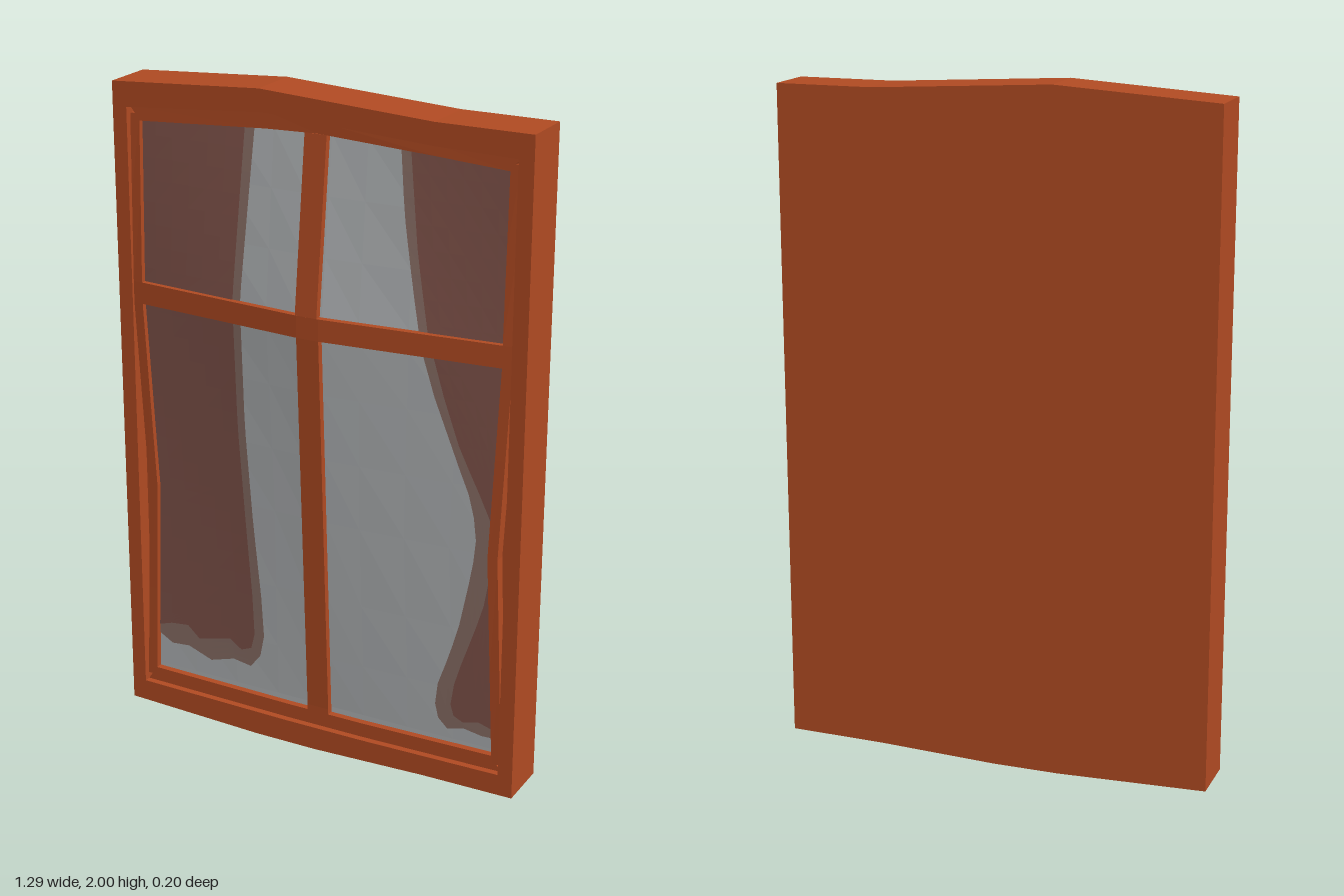
import * as THREE from 'three';

const wood = new THREE.MeshStandardMaterial({ color: 0xb04a22 });
wood.name = 'orange wood';
const glassMat = new THREE.MeshStandardMaterial({ color: 0xb0b3b5, side: THREE.DoubleSide });
glassMat.name = 'grey glass';
const curtainMat = new THREE.MeshStandardMaterial({ color: 0x80534a, side: THREE.DoubleSide });
curtainMat.name = 'brown curtain';
const trimMat = new THREE.MeshStandardMaterial({ color: 0x8a6f66, side: THREE.DoubleSide });
trimMat.name = 'pale curtain trim';

const clamp = (v) => Math.max(0, Math.min(1, v));

// Front surface of the sash: bulges forward where the bars cross
function sashZ(x, y) {
  const u = 1 - Math.max(0, Math.abs(x) - 0.035) / 0.7;
  const v = y > 1.385 ? (1.89 - y) / 0.505 : y < 1.32 ? (y - 0.135) / 1.185 : 1;
  return 0.04 + 0.06 * clamp(u) * clamp(v);
}

// Inward bow of the lower sash sides
const bow = (y) => 0.028 * clamp(y > 0.75 ? (1.32 - y) / 0.57 : (y - 0.1) / 0.65);

function buildGeometry(pos, index) {
  const g = new THREE.BufferGeometry();
  g.setAttribute('position', new THREE.Float32BufferAttribute(pos, 3));
  g.setIndex(index);
  const flat = g.toNonIndexed();
  flat.computeVertexNormals();
  return flat;
}

// Solid bar between two edges; a is left of the direction of travel, b right
function bar(a, b) {
  const pos = [], index = [];
  a.forEach((p, i) => {
    const q = b[i], za = sashZ(...p), zb = sashZ(...q);
    pos.push(...p, za, ...q, zb, ...q, zb - 0.045, ...p, za - 0.045);
  });
  const quad = (i, j, k, l) => index.push(i, j, k, i, k, l);
  for (let i = 0; i < a.length - 1; i++) {
    for (let k = 0; k < 4; k++) {
      const n = (k + 1) % 4, s = i * 4;
      quad(s + k, s + n, s + 4 + n, s + 4 + k);
    }
  }
  const e = (a.length - 1) * 4;
  quad(3, 2, 1, 0);
  quad(e, e + 1, e + 2, e + 3);
  return buildGeometry(pos, index);
}

// Thin sheet following the bulge, made of rows of [x, y] points
function sheet(rows, lift) {
  const pos = [], index = [], n = rows[0].length;
  rows.forEach((r) => r.forEach(([x, y]) => pos.push(x, y, sashZ(x, y) - 0.02 + lift)));
  for (let i = 0; i < rows.length - 1; i++) {
    for (let j = 0; j < n - 1; j++) {
      const k = i * n + j;
      index.push(k, k + 1, k + n, k + 1, k + n + 1, k + n);
    }
  }
  return buildGeometry(pos, index);
}

// Sheet between two matching edges, divided across
function ribbon(a, b, lift) {
  const rows = a.map((p, i) => Array.from({ length: 7 }, (_, j) =>
    [0, 1].map((k) => p[k] + (b[i][k] - p[k]) * j / 6)));
  return sheet(rows, lift);
}

// Curtain layer: hanging edge from the top down, then a wavy hem
function curtainLayer(group, name, side, edge, hem, material, lift) {
  const at = (y) => {
    const i = Math.max(1, edge.findIndex((p) => p[1] <= y));
    const [p, q] = [edge[i - 1], edge[i]];
    return p[0] + (q[0] - p[0]) * (p[1] - y) / (p[1] - q[1]);
  };
  const last = edge[edge.length - 1][1];
  const ys = [1.385, 1.32, 0.75];
  for (let i = 0; i <= 24; i++) ys.push(edge[0][1] + (last - edge[0][1]) * i / 24);
  ys.sort((p, q) => q - p);
  const outer = (y) => side * (0.585 - bow(y));
  // keep the edge inside the side bar
  const inner = (y) => side * Math.min(side * at(Math.max(y, last)), 0.585 - bow(y));
  const main = ribbon(ys.map((y) => [outer(y), y]), ys.map((y) => [inner(y), y]), lift);
  const bottom = ribbon(hem.map(([x]) => [x, last]), hem, lift);
  [[main, ' drape'], [bottom, ' hem']].forEach(([g, part]) => {
    const m = new THREE.Mesh(g, material);
    m.name = name + part;
    group.add(m);
  });
}

const toShape = (pts) => new THREE.Shape(pts.map(([x, y]) => new THREE.Vector2(x, y)));

export function createModel() {
  const model = new THREE.Group();
  model.name = 'window';
  const add = (name, geometry, material = wood) => {
    const m = new THREE.Mesh(geometry, material);
    m.name = name;
    model.add(m);
    return m;
  };

  // Outer frame and closed back
  const opening = [[-0.6, 0.08], [-0.1, 0.073], [0.15, 0.073], [0.6, 0.08],
    [0.6, 1.9], [0.36, 1.905], [-0.16, 1.935]].concat([[-0.6, 1.9]]);
  const outline = toShape([[-0.645, 0.015], [-0.2, 0], [0, 0], [0.36, 0.012], [0.645, 0.015],
    [0.645, 1.97], [0.36, 1.97], [-0.17, 2], [-0.645, 1.97]]);
  outline.holes.push(toShape(opening));
  add('outer frame', new THREE.ExtrudeGeometry(outline, { depth: 0.16, bevelEnabled: false }))
    .position.z = -0.1;
  add('back panel', new THREE.ExtrudeGeometry(toShape(opening), { depth: 0.114, bevelEnabled: false }))
    .position.z = -0.1;

  // Sash border
  add('top rail', bar(
    [[-0.6, 1.9], [-0.16, 1.935], [0, 1.926], [0.36, 1.905], [0.6, 1.9]],
    [[-0.57, 1.86], [-0.16, 1.886], [0, 1.891], [0.36, 1.873], [0.57, 1.86]]));
  add('bottom rail', bar(
    [[-0.57, 0.125], [-0.1, 0.118], [0.15, 0.118], [0.57, 0.125]],
    [[-0.6, 0.08], [-0.1, 0.073], [0.15, 0.073], [0.6, 0.08]]));
  const heights = [0.1, 0.4, 0.75, 1.05, 1.32, 1.385, 1.65, 1.88];
  for (const [name, s] of [['right stile', -1], ['left stile', 1]]) {
    const edge = (x) => heights.map((y) => [s * (x - bow(y)), y]);
    add(name, s < 0 ? bar(edge(0.6), edge(0.57)) : bar(edge(0.57), edge(0.6)));
  }

  // Crossing bars
  const up = [0.1, 0.135, 0.7, 1.32, 1.385, 1.7, 1.89];
  add('vertical bar', bar(up.map((y) => [-0.035 - 0.004 * (y > 1.35), y]),
    up.map((y) => [0.035 - 0.006 * (y > 1.35), y])));
  const across = [-0.59, -0.3, -0.035, 0.035, 0.3, 0.59];
  add('horizontal bar', bar(across.map((x) => [x, 1.385]), across.map((x) => [x, 1.32])));

  // Glass, one bulging sheet behind all bars
  const xs = [-1, -0.75, -0.5, -0.25, -0.06, 0.06, 0.25, 0.5, 0.75, 1];
  const ys = [0.1, 0.135, 0.3, 0.5, 0.75, 0.95, 1.15, 1.32, 1.385, 1.55, 1.72, 1.89];
  add('glass', sheet(ys.map((y) => xs.map((t) => [t * (0.585 - bow(y)), y])), 0), glassMat);

  // Curtains, each with a pale trim showing beyond the dark cloth
  const curtains = new THREE.Group();
  curtains.name = 'curtains';
  model.add(curtains);
  curtainLayer(curtains, 'right curtain trim', -1,
    [[-0.205, 1.885], [-0.235, 1.4], [-0.232, 1], [-0.215, 0.7], [-0.195, 0.45], [-0.19, 0.32]],
    [[-0.58, 0.25], [-0.52, 0.215], [-0.46, 0.22], [-0.38, 0.19], [-0.3, 0.215], [-0.24, 0.205],
      [-0.205, 0.25], [-0.19, 0.32]], trimMat, 0.002);
  curtainLayer(curtains, 'right curtain cloth', -1,
    [[-0.235, 1.885], [-0.26, 1.4], [-0.256, 1], [-0.24, 0.7], [-0.225, 0.45], [-0.222, 0.32]],
    [[-0.58, 0.265], [-0.52, 0.285], [-0.46, 0.292], [-0.42, 0.255], [-0.36, 0.27], [-0.31, 0.283],
      [-0.27, 0.255], [-0.235, 0.27], [-0.222, 0.32]], curtainMat, 0.004);
  curtainLayer(curtains, 'left curtain trim', 1,
    [[0.245, 1.885], [0.265, 1.7], [0.3, 1.5], [0.335, 1.32], [0.37, 1.2], [0.445, 1], [0.485, 0.9],
      [0.5, 0.8], [0.49, 0.7], [0.45, 0.5], [0.42, 0.4], [0.385, 0.3], [0.38, 0.24]],
    [[0.38, 0.24], [0.39, 0.195], [0.42, 0.165], [0.47, 0.18], [0.53, 0.17], [0.58, 0.172]],
    trimMat, 0.002);
  curtainLayer(curtains, 'left curtain cloth', 1,
    [[0.275, 1.885], [0.31, 1.6], [0.35, 1.38], [0.4, 1.2], [0.45, 1.05], [0.5, 0.95], [0.53, 0.88],
      [0.56, 0.82], [0.545, 0.7], [0.53, 0.6], [0.5, 0.5], [0.465, 0.4], [0.435, 0.3], [0.43, 0.25]],
    [[0.43, 0.25], [0.44, 0.215], [0.47, 0.2], [0.52, 0.213], [0.58, 0.195]], curtainMat, 0.004);

  return model;
}
